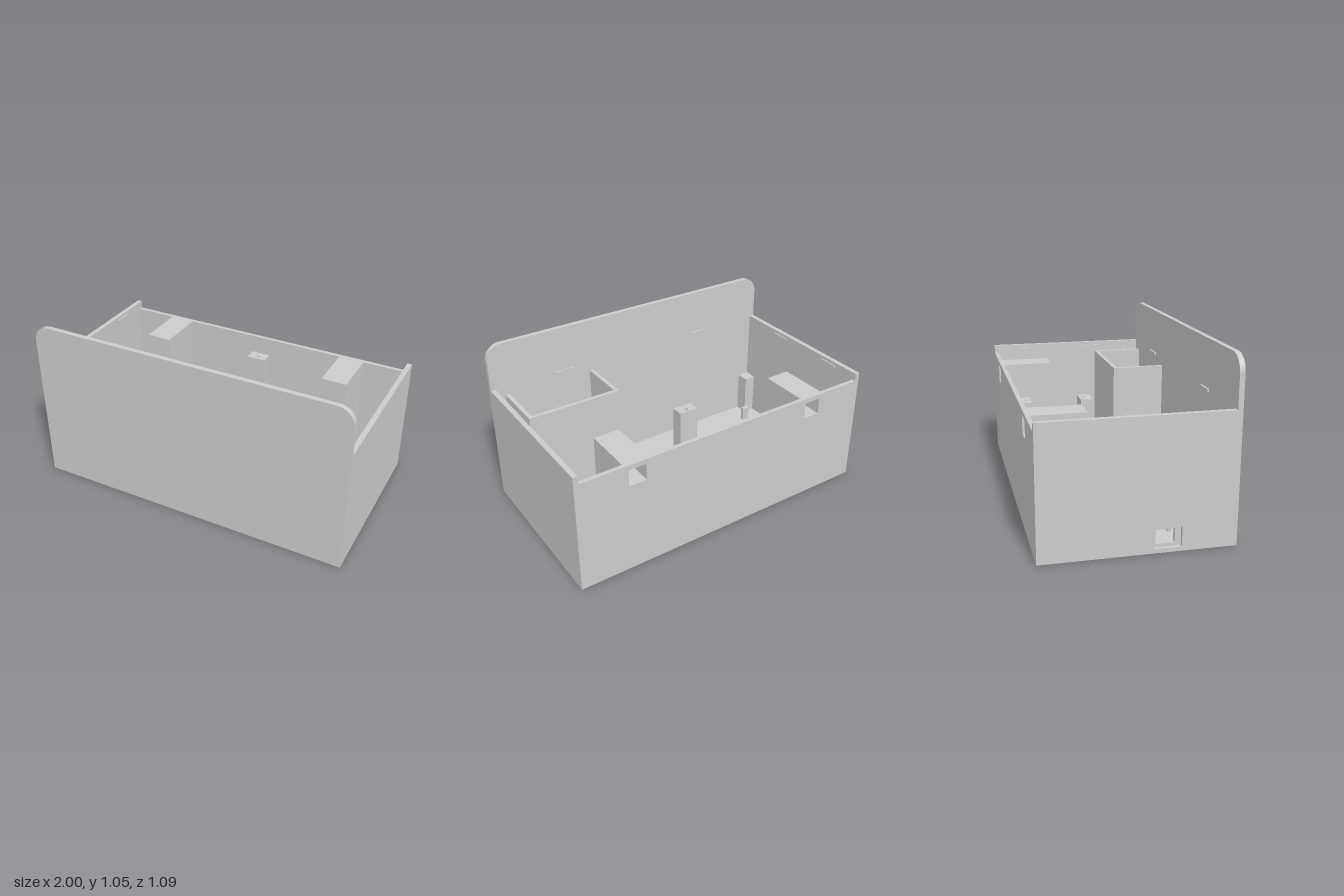
import * as THREE from 'three';

const grey = new THREE.MeshStandardMaterial({ color: 0xcccccc });
grey.name = 'plainGrey';

export function createModel() {
  const model = new THREE.Group();
  model.name = 'openEnclosure';

  const add = (name, geometry) => {
    const mesh = new THREE.Mesh(geometry, grey);
    mesh.name = name;
    model.add(mesh);
    return mesh;
  };

  // Box given by its limits on each axis
  const box = (name, x0, x1, y0, y1, z0, z1) =>
    add(name, new THREE.BoxGeometry(x1 - x0, y1 - y0, z1 - z0)
      .translate((x0 + x1) / 2, (y0 + y1) / 2, (z0 + z1) / 2));

  const trace = (path, a0, a1, b0, b1) =>
    path.moveTo(a0, b0).lineTo(a1, b0).lineTo(a1, b1).lineTo(a0, b1).closePath();

  // Rectangular plate with rectangular holes, each as [a0, a1, b0, b1]
  const plate = (outline, holes, depth) => {
    const shape = trace(new THREE.Shape(), ...outline);
    holes.forEach((h) => shape.holes.push(trace(new THREE.Path(), ...h)));
    return new THREE.ExtrudeGeometry(shape, { depth, bevelEnabled: false });
  };

  // Base
  box('floor', -0.97, 0.97, 0, 0.025, -0.52, 0.515);

  // Tall front panel with rounded upper corners
  const r = 0.1, top = 1.05;
  const panel = new THREE.Shape();
  panel.moveTo(-1, 0).lineTo(1, 0).lineTo(1, top - r);
  panel.absarc(1 - r, top - r, r, 0, Math.PI / 2);
  panel.absarc(-1 + r, top - r, r, Math.PI / 2, Math.PI);
  panel.closePath();
  add('frontPanel', new THREE.ExtrudeGeometry(panel,
    { depth: 0.03, bevelEnabled: false, curveSegments: 16 }).translate(0, 0, 0.515));

  // Side walls; the right one has a port opening
  box('leftWall', 0.97, 1, 0, 0.76, -0.545, 0.515);
  add('rightWall', plate([-0.515, 0.545, 0, 0.76], [[-0.235, -0.08, 0.025, 0.14]], 0.03)
    .rotateY(Math.PI / 2).translate(-1, 0, 0));
  add('portFrame', plate([-0.235, -0.06, 0.025, 0.15], [[-0.2, -0.095, 0.045, 0.125]], 0.025)
    .rotateY(Math.PI / 2).translate(-0.98, 0, 0));

  // Lower back wall with two square latch openings
  const wallTop = 0.71;
  const latchHole = (c) => [c - 0.055, c + 0.055, 0.575, 0.68];
  add('backWall', plate([-0.97, 0.97, 0, wallTop], [-0.62, 0.62].map(latchHole), 0.025)
    .translate(0, 0, -0.545));

  for (const s of [-1, 1]) {
    // Hollow latch block behind each opening
    const c = s * 0.62;
    add('latchBlock', plate([c - 0.08, c + 0.08, 0.025, wallTop], [latchHole(c)], 0.28)
      .translate(0, 0, -0.52));
    box('latchBlockEnd', c - 0.08, c + 0.08, 0.025, wallTop, -0.24, -0.21);

    // Snap ridges on the panel and side walls
    const p = s * 0.515;
    box('panelRidge', p - 0.065, p + 0.065, 0.75, 0.765, 0.505, 0.516);
    for (const z of [-0.3025, 0.1725]) {
      const x = s * 0.967;
      box('sideRidge', x - 0.005, x + 0.005, 0.725, 0.74, z - 0.0625, z + 0.0625);
    }
  }

  // Compartment behind the front panel
  box('compartmentBack', 0.31, 0.91, 0.025, 0.705, 0.18, 0.205);
  box('compartmentRightWall', 0.31, 0.335, 0.025, 0.705, 0.205, 0.515);
  box('compartmentLeftWall', 0.885, 0.91, 0.025, 0.705, 0.205, 0.515);

  // Central mount: two posts with screw holes on a shared base
  box('mountBase', -0.065, 0.06, 0.025, 0.3, -0.42, -0.12);
  for (const [z0, z1, hz] of [[-0.5, -0.42, -0.45], [-0.12, -0.045, -0.095]]) {
    box('mountPost', -0.065, 0.06, 0.025, 0.52, z0, z1);
    const cap = trace(new THREE.Shape(), -0.065, 0.06, -z1, -z0);
    const hole = new THREE.Path();
    hole.absarc(0, -hz, 0.012, 0, Math.PI * 2, true);
    cap.holes.push(hole);
    add('mountPostTop', new THREE.ExtrudeGeometry(cap,
      { depth: 0.085, bevelEnabled: false, curveSegments: 12 })
      .rotateX(-Math.PI / 2).translate(0, 0.52, 0));
  }

  // Circuit board rails, end stop and clips
  box('boardRail', -0.81, -0.26, 0.025, 0.06, 0.06, 0.08);
  box('boardRail', -0.81, -0.26, 0.025, 0.06, 0.215, 0.235);
  box('boardStop', -0.26, -0.195, 0.025, 0.1, 0.1, 0.2);
  for (const x of [-0.86, -0.355]) {
    box('boardClip', x, x + 0.05, 0.025, 0.12, -0.07, -0.045);
    // Sloped hook at the top of the clip
    const hook = new THREE.Shape();
    hook.moveTo(0.045, 0.08).lineTo(0.035, 0.095).lineTo(0.045, 0.12).closePath();
    add('clipHook', new THREE.ExtrudeGeometry(hook, { depth: 0.05, bevelEnabled: false })
      .rotateY(Math.PI / 2).translate(x, 0, 0));
    box('boardClip', x, x + 0.05, 0.025, 0.12, 0.34, 0.365);
  }

  // Block in the front right corner
  box('cornerBlock', -0.97, -0.895, 0.025, 0.3, 0.43, 0.515);

  return model;
}
